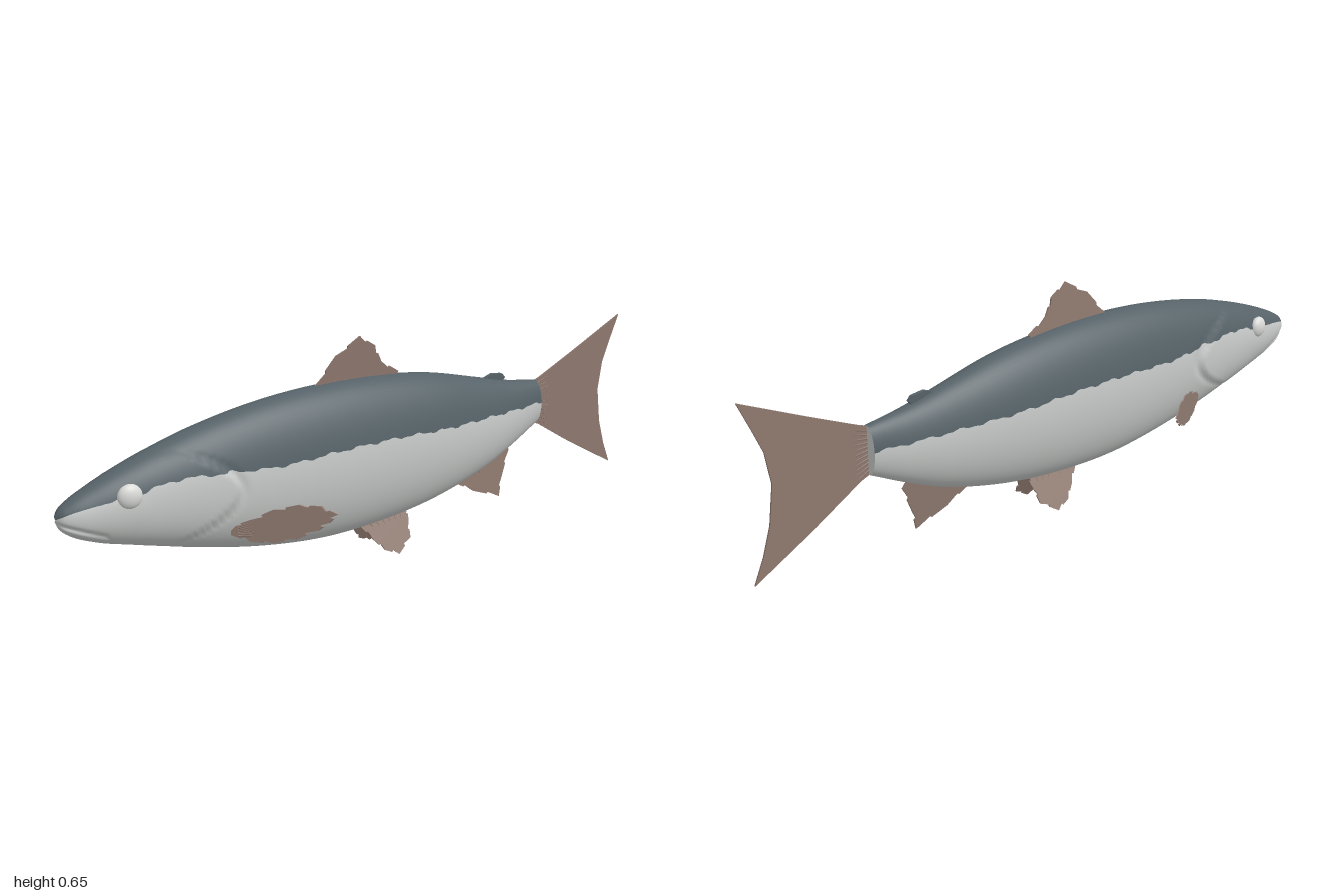
import * as THREE from 'three';

const mat = (name, color, side = THREE.FrontSide) => {
  const m = new THREE.MeshStandardMaterial({ color, side });
  m.name = name;
  return m;
};

// Body stations: z, then top, bottom, half width, height of the colour border
const STATIONS = [
  [-0.635, 0.41, 0.27, 0.034, 0.345], [-0.5, 0.432, 0.205, 0.058, 0.348],
  [-0.4, 0.457, 0.165, 0.075, 0.352], [-0.2, 0.505, 0.115, 0.1, 0.358],
  [0, 0.53, 0.092, 0.11, 0.37], [0.2, 0.536, 0.09, 0.111, 0.372],
  [0.4, 0.524, 0.115, 0.104, 0.368], [0.6, 0.492, 0.16, 0.092, 0.385],
  [0.7, 0.467, 0.188, 0.083, 0.388], [0.8, 0.437, 0.217, 0.072, 0.37],
  [0.9, 0.4, 0.248, 0.053, 0.358], [0.97, 0.367, 0.283, 0.032, 0.345],
  [0.99, 0.352, 0.303, 0.019, 0.337], [1, 0.335, 0.325, 0.003, 0.33],
];
const profile = new THREE.CubicInterpolant(
  STATIONS.map((s) => s[0]), STATIONS.flatMap((s) => s.slice(1)), 4);

// Sideways relief: raised gill cover with a groove behind it, and the mouth line
function relief(y, z) {
  let d = 0;
  const e = z - (0.515 + 11 * (y - 0.33) ** 2);
  if (y > 0.2 && y < 0.45) {
    if (e > 0) d += 0.008 * Math.min(1, e / 0.015) * Math.max(0, 1 - e / 0.25);
    d -= 0.005 * Math.exp(-(((e + 0.008) / 0.012) ** 2));
  }
  if (z > 0.88 && z < 0.995) {
    const m = y - (0.318 - (1 - z) * 0.42);
    d += 0.004 * Math.exp(-(((m + 0.014) / 0.009) ** 2)) - 0.007 * Math.exp(-((m / 0.006) ** 2));
  }
  return d;
}

// Lofted body, with one material group for the back and one for the belly
function bodyGeometry() {
  const rings = 170, upper = 24, n = 68;
  const pos = [], back = [], belly = [];
  for (let i = 0; i <= rings; i++) {
    const z = 1 - 1.635 * (i / rings) ** 1.25;
    const [top, bottom, w, border] = profile.evaluate(z);
    const cy = (top + bottom) / 2, ry = (top - bottom) / 2;
    const wave = z < 0.9 ? 0.003 * Math.sin(z * 61) + 0.002 * Math.sin(z * 143) : 0;
    const tb = Math.asin(THREE.MathUtils.clamp((border + wave - cy) / ry, -0.9, 0.9));
    for (let j = 0; j < n; j++) {
      const t = j < upper
        ? tb + (Math.PI - 2 * tb) * (j / upper)
        : Math.PI - tb + (Math.PI + 2 * tb) * ((j - upper) / (n - upper));
      const y = cy + ry * Math.sin(t), c = Math.cos(t);
      pos.push(c * (w + relief(y, z) * Math.abs(c)), y, z);
      if (i === rings) continue;
      const a = i * n + j, b = i * n + ((j + 1) % n);
      (j < upper ? back : belly).push(a, a + n, b, b, a + n, b + n);
    }
  }
  const g = new THREE.BufferGeometry();
  g.setAttribute('position', new THREE.Float32BufferAttribute(pos, 3));
  g.setIndex([...back, ...belly]);
  g.addGroup(0, back.length, 0);
  g.addGroup(back.length, belly.length, 1);
  g.computeVertexNormals();
  return g;
}

// Adds small notches along the free edge of an outline (its last side is the root)
function serrate(pts) {
  const out = [];
  for (let i = 0; i < pts.length - 1; i++) {
    const [ax, ay] = pts[i], [bx, by] = pts[i + 1];
    const len = Math.hypot(bx - ax, by - ay), k = 0.006 / len;
    out.push([ax, ay]);
    // tooth: a step inwards just before the next corner
    out.push([ax + (bx - ax) * 0.5, ay + (by - ay) * 0.5]);
    out.push([ax + (bx - ax) * 0.55 - (by - ay) * k, ay + (by - ay) * 0.55 + (bx - ax) * k]);
  }
  out.push(pts[pts.length - 1]);
  return out;
}

// Thin plate from an outline, drawn in the xy plane
function plate(pts, depth = 0.005) {
  const shape = new THREE.Shape(pts.map(([x, y]) => new THREE.Vector2(x, y)));
  return new THREE.ExtrudeGeometry(shape, { depth, bevelEnabled: false }).translate(0, 0, -depth / 2);
}

// Moves every vertex by a rule, then refreshes the normals
function warp(g, rule) {
  const p = g.attributes.position, v = new THREE.Vector3();
  for (let i = 0; i < p.count; i++) {
    rule(v.fromBufferAttribute(p, i));
    p.setXYZ(i, v.x, v.y, v.z);
  }
  g.computeVertexNormals();
  return g;
}

// Tapered fin rays fanning from root line a-b towards tip line c-d
function rays(count, a, b, c, d) {
  const list = [];
  for (let i = 0; i < count; i++) {
    const t = (i + 0.5) / count;
    const p = new THREE.Vector2(...a).lerp(new THREE.Vector2(...b), t);
    const q = new THREE.Vector2(...c).lerp(new THREE.Vector2(...d), t);
    const dir = q.clone().sub(p);
    const g = new THREE.CylinderGeometry(0.0008, 0.004, dir.length(), 5);
    g.rotateZ(dir.angle() - Math.PI / 2).translate((p.x + q.x) / 2, (p.y + q.y) / 2, 0);
    list.push(g);
  }
  return list;
}

export function createModel() {
  const model = new THREE.Group();
  model.name = 'fish';
  const backMat = mat('slateBack', 0x566268);
  const bellyMat = mat('silverBelly', 0xc6c9c7);
  const finMat = mat('brownFin', 0x8f7a70, THREE.DoubleSide);
  const eyeMat = mat('paleEye', 0xdadbd8);

  const add = (name, geometry, material, parent = model) => {
    const m = new THREE.Mesh(geometry, material);
    m.name = name;
    parent.add(m);
    return m;
  };

  // Body and the flat end of the tail root
  add('body', bodyGeometry(), [backMat, bellyMat]);
  add('tailRoot', new THREE.CircleGeometry(1, 40).rotateY(Math.PI)
    .scale(0.034, 0.07, 1).translate(0, 0.34, -0.635), bellyMat);

  // Fin in the side plane: outlines are given as (-z, y), lean shifts x by height
  const sideFin = (name, pts, rayList = [], lean = () => 0, material = finMat, parent = model, depth) => {
    const group = new THREE.Group();
    group.name = name;
    parent.add(group);
    [plate(pts, depth), ...rayList].forEach((g, i) =>
      add(i ? 'finRay' : 'finBlade', warp(g.rotateY(Math.PI / 2), (v) => { v.x += lean(v.y); }), material, group));
  };

  sideFin('tailFin', [[0.61, 0.4], [0.66, 0.418], [0.8, 0.478], [1, 0.567], [0.965, 0.49], [0.935, 0.42],
    [0.92, 0.33], [0.935, 0.22], [0.96, 0.14], [0.99, 0.07], [0.8, 0.175], [0.66, 0.26], [0.61, 0.28]],
  rays(11, [0.63, 0.4], [0.63, 0.28], [0.78, 0.45], [0.78, 0.2]));

  sideFin('dorsalFin', serrate([[0.08, 0.5], [0.085, 0.53], [0.02, 0.57], [-0.005, 0.62], [-0.06, 0.655],
    [-0.14, 0.61], [-0.207, 0.535], [-0.18, 0.5]]),
  rays(7, [-0.17, 0.52], [0.06, 0.51], [-0.11, 0.585], [0.05, 0.545]), (y) => (y - 0.53) * 0.08);

  sideFin('adiposeFin', [[0.41, 0.43], [0.425, 0.452], [0.45, 0.46], [0.49, 0.455], [0.502, 0.442],
    [0.49, 0.428], [0.46, 0.42]], [], () => 0, backMat, model, 0.012);

  sideFin('analFin', serrate([[0.3, 0.145], [0.38, 0.1], [0.485, 0.06], [0.5, 0.12], [0.535, 0.2],
    [0.51, 0.235], [0.4, 0.19]]),
  rays(7, [0.36, 0.16], [0.5, 0.22], [0.42, 0.11], [0.51, 0.175]), (y) => (0.15 - y) * 0.1);

  // Paired parts, made for the left and mirrored to the right
  const pectoralOutline = serrate([[0.075, 0.2], [0.1, 0.178], [0.13, 0.17], [0.16, 0.178], [0.19, 0.2],
    [0.205, 0.22], [0.217, 0.243], [0.195, 0.268], [0.165, 0.276], [0.13, 0.265], [0.1, 0.24], [0.075, 0.225]]);
  for (const [side, s] of [['left', 1], ['right', -1]]) {
    const half = new THREE.Group();
    half.name = side + 'Side';
    half.scale.x = s;
    model.add(half);

    // Eye
    add('eye', new THREE.SphereGeometry(1, 32, 20).scale(0.019, 0.033, 0.033)
      .rotateY(-0.15).translate(0.06, 0.368, 0.822), eyeMat, half);

    // Pectoral fin, swept backwards
    const pectoral = new THREE.Group();
    pectoral.name = 'pectoralFin';
    half.add(pectoral);
    [plate(pectoralOutline), ...rays(7, [0.085, 0.195], [0.085, 0.225], [0.14, 0.185], [0.14, 0.26])]
      .forEach((g, i) => add(i ? 'finRay' : 'finBlade',
        warp(g, (v) => { v.z += 0.52 - (v.x - 0.085) * 1.73; }), finMat, pectoral));

    // Pelvic fin, splayed outwards
    sideFin('pelvicFin', serrate([[-0.075, 0.1], [-0.04, 0.055], [-0.01, 0.02], [0.035, 0], [0.09, 0.033],
      [0.1, 0.075], [0.11, 0.115], [0, 0.12]]),
    rays(6, [-0.05, 0.1], [0.09, 0.11], [-0.01, 0.05], [0.08, 0.06]),
    (y) => 0.026 + (0.09 - y) * 0.5, finMat, half);
  }
  return model;
}
